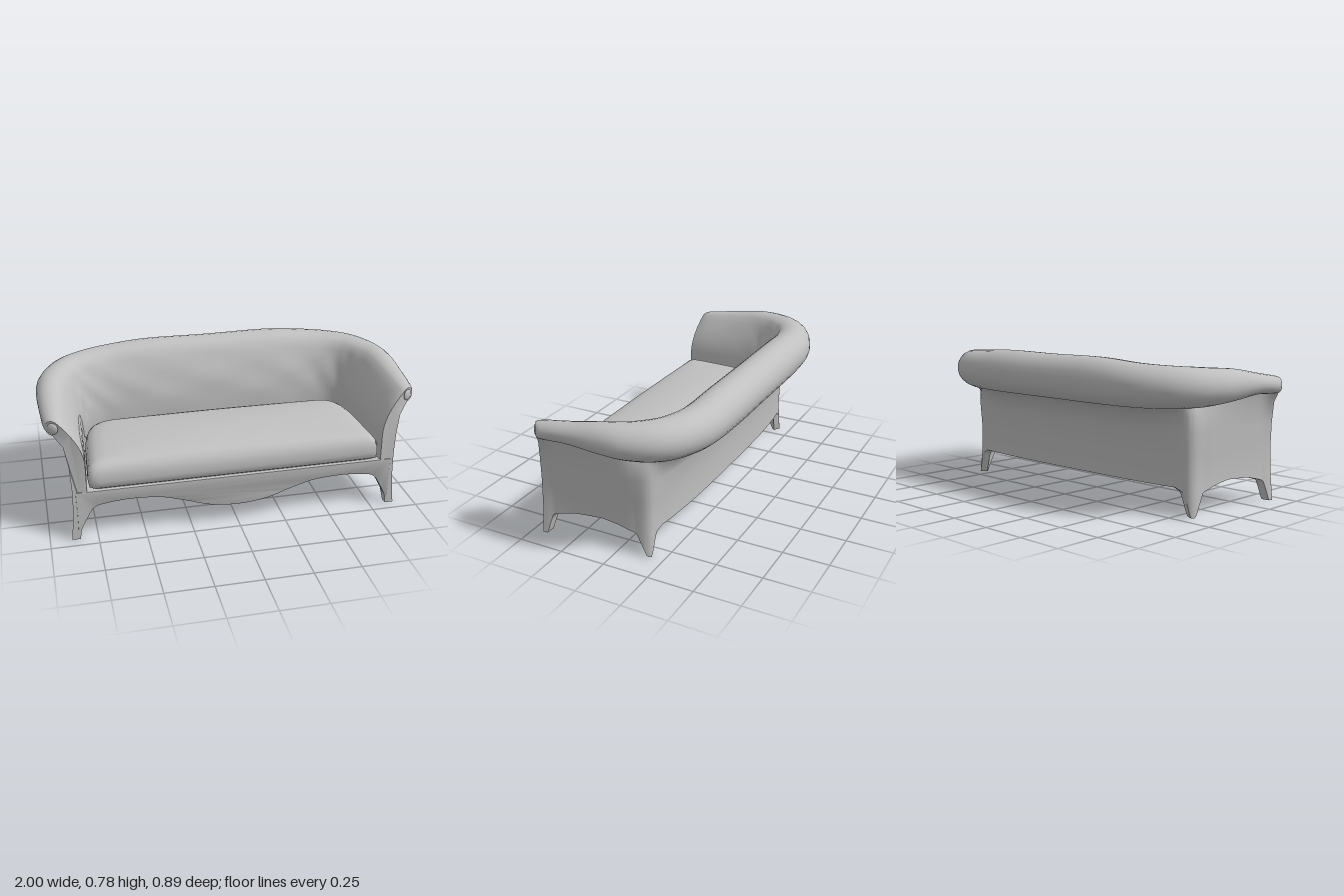
import * as THREE from 'three';
import { toCreasedNormals, mergeVertices } from 'three/addons/utils/BufferGeometryUtils.js';

// Half of the wraparound shell, left front to middle back:
// wall base x,z | roll outermost x,z | inner wall x,z | roll top, bottom, radius
const STATIONS = [
  [.865, .44, .975, .372, .795, .44, .668, .588, .042],
  [.858, .37, .985, .335, .787, .36, .68, .585, .055],
  [.852, .20, .995, .19, .78, .20, .705, .592, .065],
  [.85, .03, 1.0, .02, .77, .03, .735, .575, .08],
  [.842, -.08, .983, -.12, .755, -.05, .745, .56, .095],
  [.82, -.165, .915, -.26, .725, -.115, .752, .55, .105],
  [.74, -.195, .80, -.362, .65, -.155, .757, .545, .11],
  [.60, -.21, .62, -.43, .54, -.168, .765, .542, .113],
  [.35, -.222, .365, -.45, .34, -.17, .782, .54, .115],
  [0, -.225, 0, -.45, 0, -.17, .78, .54, .115],
];
// Lower edge of the shell by station: dips to the floor at each leg
const HEM = [[0, 0], [.5, 0], [.9, .11], [1.7, .145], [2.6, .158], [3.3, .145],
  [4.2, .12], [4.82, 0], [5.14, 0], [5.5, .12], [6, .145], [9, .145]];
const LAST = STATIONS.length - 1;
const { lerp, smoothstep, degToRad } = THREE.MathUtils;

function hemAt(s) {
  let k = 0;
  while (k < HEM.length - 2 && s > HEM[k + 1][0]) k++;
  const [a, b] = [HEM[k], HEM[k + 1]];
  return lerp(a[1], b[1], Math.min(1, (s - a[0]) / (b[0] - a[0])));
}

// Stations mirrored to the other arm and smoothed
const full = [...STATIONS,
  ...STATIONS.slice(0, LAST).reverse().map(r => r.map((v, k) => (k === 0 || k === 2 || k === 4 ? -v : v)))];
const curve = (a, b, c) => new THREE.CatmullRomCurve3(
  full.map(r => new THREE.Vector3(r[a], r[b], r[c])), false, 'catmullrom', 0.5);
const baseCurve = curve(0, 8, 1), rollCurve = curve(2, 6, 3), innerCurve = curve(4, 7, 5);

// One closed cross-section of the shell
function section(t) {
  const s = LAST - Math.abs(t * 2 * LAST - LAST);
  const b = baseCurve.getPoint(t), o = rollCurve.getPoint(t), i = innerCurve.getPoint(t);
  const rn = b.y, top = o.y, bot = i.y, hem = hemAt(s);
  const d = new THREE.Vector3(o.x - b.x, 0, o.z - b.z);
  const reach = d.length() - rn;
  d.normalize();
  const e = new THREE.Vector3(b.x - i.x, 0, b.z - i.z).normalize();
  const out = (n, y, dir = d) => new THREE.Vector3(b.x + dir.x * n, y, b.z + dir.z * n);
  const flare = .023 * (1 - hem / .16);
  // the roll overhangs the wall along the arms
  const tuck = smoothstep(s, .3, 1.5) * (1 - smoothstep(s, 4, 6));
  const pts = [out(flare - .045, hem, e), out(flare, hem, e), out(flare * .3, lerp(hem, .3, .5), e),
    out(.006, .3), out(.014, .42), out(reach * lerp(.42, .3, tuck), lerp(.42, bot, .66))];
  // rolled top
  const cy = (top + bot) / 2, ry = (top - bot) / 2, start = lerp(-88, -122, tuck);
  for (let k = 0; k <= 14; k++) {
    const a = degToRad(lerp(start, 135, k / 14));
    pts.push(out(reach + rn * Math.cos(a), cy + ry * Math.sin(a)));
  }
  // softly tufted inner face, bulging between the roll and the seat
  const end = pts[pts.length - 1];
  const tuft = smoothstep(s, 2, 4.5);
  for (let k = 1; k <= 8; k++) {
    const f = k / 8, g = 1 - (1 - f) ** 2;
    const w = tuft * .005 * Math.sin(f * Math.PI) * Math.sin(f * 9) * Math.cos((s - LAST) * 4.2);
    pts.push(new THREE.Vector3(lerp(end.x, i.x, g) + d.x * w,
      lerp(end.y, .42, f), lerp(end.z, i.z, g) + d.z * w));
  }
  pts.push(new THREE.Vector3(i.x, .27, i.z));
  pts.push(out(-.045, Math.max(hem + .02, .16), e));
  return pts;
}

function makeGeometry(pos, index, crease) {
  const g = new THREE.BufferGeometry();
  g.setAttribute('position', new THREE.Float32BufferAttribute(pos, 3));
  g.setIndex(index);
  return toCreasedNormals(g, crease);
}

function shellGeometry() {
  const rings = [], pos = [], index = [], N = 18 * 9;
  for (let k = 0; k <= N; k++) rings.push(section(k / N));
  const M = rings[0].length;
  rings.forEach(r => r.forEach(p => pos.push(p.x, p.y, p.z)));
  for (let s = 0; s < N; s++) for (let j = 0; j < M; j++) {
    const a = s * M + j, c = s * M + (j + 1) % M;
    index.push(a, a + M, c, c, a + M, c + M);
  }
  // front faces of the two arms
  for (const s of [0, N]) {
    const flat = rings[s].map(p => new THREE.Vector2(p.x, p.y));
    for (const f of THREE.ShapeUtils.triangulateShape(flat, [])) index.push(...f.map(v => v + s * M));
  }
  return makeGeometry(pos, index, .75);
}

// Single-layer panel that follows the inside of the shell, facing up or down
function panelGeometry(inset, front, y, facing) {
  const pts = [];
  for (let k = 0; k <= 60; k++) {
    const p = baseCurve.getPoint(k / 60);
    pts.push(new THREE.Vector2(p.x * (1 - inset / .85), -facing * Math.min(front, p.z + inset)));
  }
  return new THREE.ShapeGeometry(new THREE.Shape(pts)).rotateX(-facing * Math.PI / 2).translate(0, y, 0);
}

// Front rail with a double arch and a central drop
function apronGeometry() {
  const half = [[.85, .03], [.81, .11], [.765, .18], [.70, .2], [.57, .21], [.42, .2],
    [.3, .168], [.15, .12], [0, .105]];
  const lower = [...half, ...half.slice(0, -1).reverse().map(([x, y]) => [-x, y])]
    .map(([x, y]) => new THREE.Vector2(x, y));
  const shape = new THREE.Shape();
  shape.moveTo(-.85, .27);
  shape.lineTo(.85, .27);
  shape.lineTo(.85, .03);
  shape.splineThru(lower.slice(1));
  const g = new THREE.ExtrudeGeometry(shape, {
    depth: .025, bevelThickness: .005, bevelSize: .004, bevelSegments: 2, curveSegments: 60 });
  return g.translate(0, 0, .411);
}

// Crowned seat cushion lofted from inset outlines
function cushionGeometry() {
  const o = new THREE.Shape();
  o.moveTo(-.76, .44);
  o.lineTo(.76, .44);
  o.quadraticCurveTo(.785, .44, .785, .40);
  o.lineTo(.77, .12);
  o.bezierCurveTo(.755, -.05, .74, -.13, .63, -.13);
  o.lineTo(-.63, -.13);
  o.bezierCurveTo(-.74, -.13, -.755, -.05, -.77, .12);
  o.lineTo(-.785, .40);
  o.quadraticCurveTo(-.785, .44, -.76, .44);
  const outline = o.getSpacedPoints(120).slice(0, -1), K = outline.length;
  const rings = [[.02, .276], [.004, .288], [0, .32], [.002, .355], [.01, .382], [.022, .4],
    [.04, .411], [.07, .416], [.12, .418], [.19, .418], [.25, .418], [.285, .418]];
  const pos = [], index = [];
  rings.forEach(([inset, y]) => outline.forEach(p => {
    const f = inset / .285;
    const x = p.x * (1 - f * (.4 + .6 * f)), z = .155 + (p.y - .155) * (1 - f);
    const crown = y > .4 ? .036 * (1 - (x / .785) ** 2) * (1 - ((z - .155) / .285) ** 2) : 0;
    pos.push(x, y + crown, z);
  }));
  for (let r = 0; r < rings.length - 1; r++) for (let k = 0; k < K; k++) {
    const a = r * K + k, b = r * K + (k + 1) % K;
    index.push(a, b, a + K, b, b + K, a + K);
  }
  return makeGeometry(pos, index, 1);
}

export function createModel() {
  const model = new THREE.Group();
  model.name = 'sofa';
  const upholstery = new THREE.MeshStandardMaterial({ color: 0xc0c0c0 });
  upholstery.name = 'light grey';
  const add = (name, geometry) => {
    const mesh = new THREE.Mesh(geometry, upholstery);
    mesh.name = name;
    model.add(mesh);
    return mesh;
  };
  add('shellWithRolledArmsAndLegs', shellGeometry());
  add('frontApron', toCreasedNormals(mergeVertices(apronGeometry()), .6));
  add('bottomPanel', panelGeometry(.02, .32, .146, -1));
  add('bottomPanelFront', new THREE.PlaneGeometry(1.62, .12)).position.set(0, .206, .32);
  add('seatDeck', panelGeometry(.035, .435, .272, 1));
  add('seatCushion', cushionGeometry());
  // scroll ends of the rolled arms
  for (const side of [1, -1]) {
    const button = add('armScrollEnd', new THREE.SphereGeometry(.03, 20, 12));
    button.scale.z = .35;
    button.rotation.y = side * .55;
    button.position.set(side * .939, .628, .394);
  }
  return model;
}
